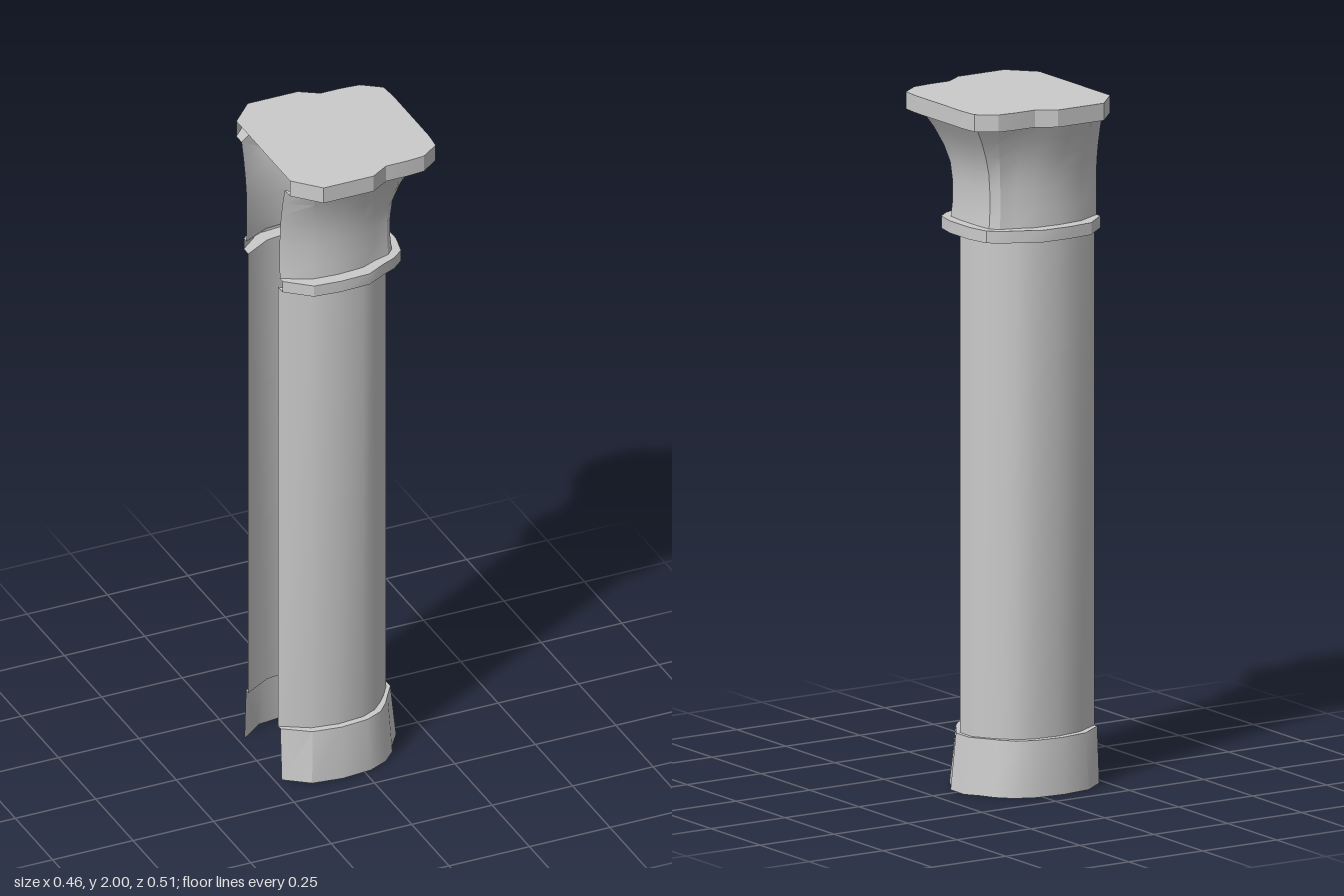
import * as THREE from 'three';
import { toCreasedNormals } from 'three/addons/utils/BufferGeometryUtils.js';

const material = new THREE.MeshStandardMaterial({ color: 0xcccccc, side: THREE.DoubleSide });

// Half outlines [x, z] from the open back edge, round the side lobe, to the front face
const SHAFT = [[-.23, .10], [-.15, .147], [-.07, .16], [.01, .153], [.055, .132], [.088, .10], [.112, .07], [.138, .03]];
const BASE_TOP = [[-.23, .115], [-.155, .168], [-.07, .18], [.015, .172], [.067, .148], [.10, .11], [.122, .075], [.15, .033]];
const BASE_FOOT = [[-.23, .125], [-.16, .178], [-.07, .19], [.02, .182], [.08, .155], [.118, .115], [.138, .075], [.167, .035]];
const COLLAR = [[-.23, .13], [-.16, .19], [-.08, .198], [.01, .195], [.065, .165], [.11, .145], [.145, .115], [.16, .05]];
const NECK = [[-.23, .11], [-.15, .15], [-.07, .158], [.01, .152], [.055, .132], [.10, .118], [.12, .095], [.125, .04]];
const FLARE = [[-.23, .145], [-.16, .20], [-.09, .204], [-.01, .203], [.05, .187], [.145, .172], [.195, .14], [.203, .08]];
const SLAB = [[-.23, .18], [-.16, .255], [-.005, .255], [.05, .22], [.115, .22], [.17, .215], [.225, .175], [.23, .12]];

const mirrored = (half) => [...half, ...half.map(([x, z]) => [x, -z]).reverse()];
const mix = (a, b, t) => a.map((p, i) => p.map((v, k) => v + (b[i][k] - v) * t));

// Open shell through a stack of [half outline, height] rings
function shell(name, rings) {
  const positions = [], index = [];
  const n = rings[0][0].length * 2;
  rings.forEach(([half, y], r) => {
    mirrored(half).forEach(([x, z], i) => {
      positions.push(x, y, z);
      if (r === 0 || i === n - 1) return;
      const a = (r - 1) * n + i, b = r * n + i;
      index.push(a, a + 1, b + 1, a, b + 1, b);
    });
  });
  const geometry = new THREE.BufferGeometry();
  geometry.setAttribute('position', new THREE.Float32BufferAttribute(positions, 3));
  geometry.setIndex(index);
  const mesh = new THREE.Mesh(toCreasedNormals(geometry, 0.5), material);
  mesh.name = name;
  return mesh;
}

export function createModel() {
  const group = new THREE.Group();
  group.name = 'pillar';

  // Flared foot with a ledge running in to the shaft
  group.add(shell('base', [[BASE_FOOT, 0], [BASE_TOP, .163], [SHAFT, .163]]));
  group.add(shell('shaft', [[SHAFT, .163], [SHAFT, 1.607]]));
  group.add(shell('collar', [[SHAFT, 1.607], [COLLAR, 1.607], [COLLAR, 1.642], [NECK, 1.642]]));

  // Capital sweeping outward towards the slab
  const sweep = [[1.642, .06], [1.69, 0], [1.75, .01], [1.8, .08], [1.85, .29], [1.9, .6], [1.95, 1]];
  group.add(shell('capital', sweep.map(([y, t]) => [mix(NECK, FLARE, t), y])));

  // Top slab: underside ledge, rim and flat cap
  group.add(shell('slabRim', [[FLARE, 1.95], [SLAB, 1.95], [SLAB, 2]]));
  const outline = new THREE.Shape(mirrored(SLAB).map(([x, z]) => new THREE.Vector2(x, -z)));
  const cap = new THREE.Mesh(new THREE.ShapeGeometry(outline).rotateX(-Math.PI / 2).translate(0, 2, 0), material);
  cap.name = 'slabTop';
  group.add(cap);

  return group;
}
